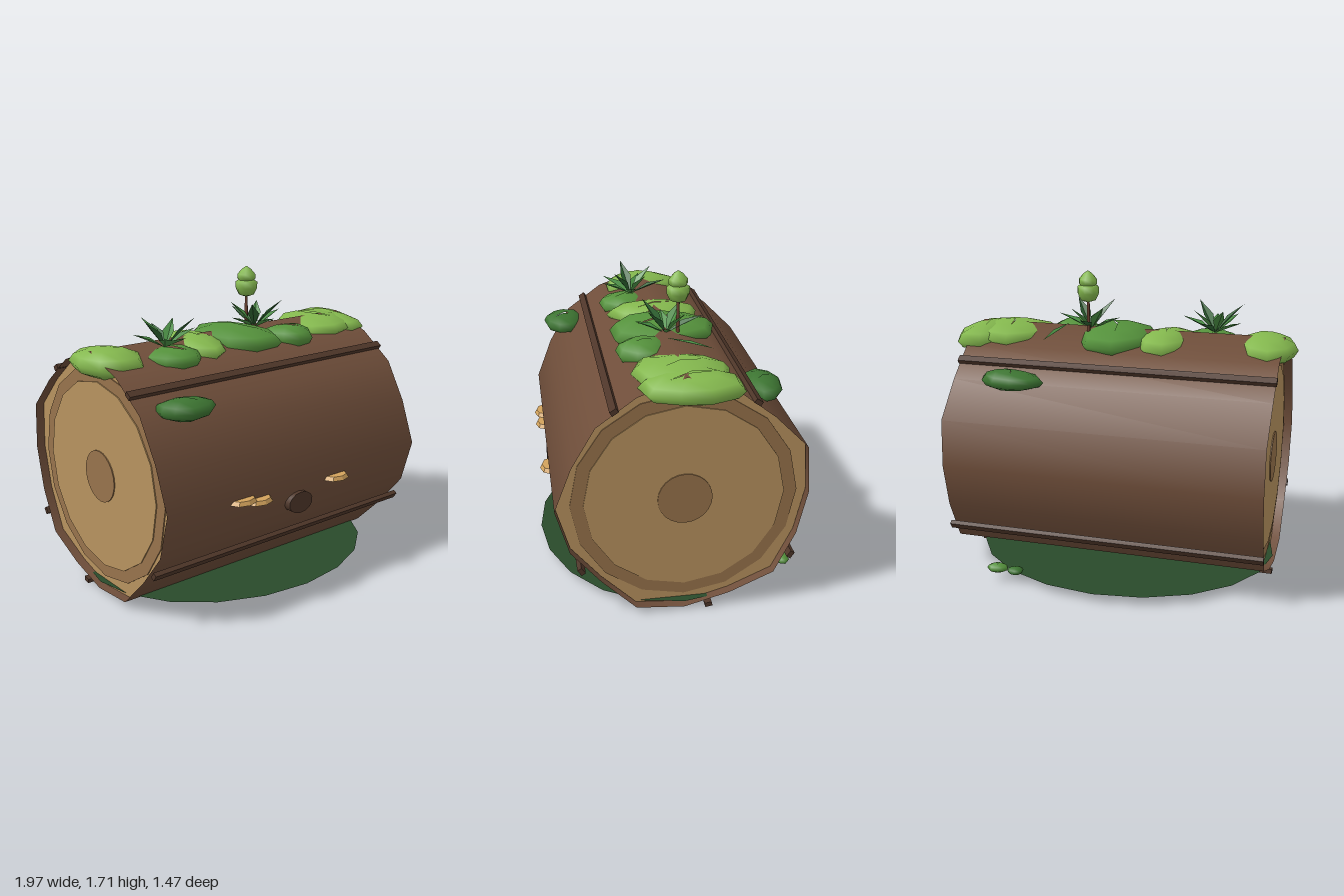
import * as THREE from 'three';
import { mergeVertices } from 'three/addons/utils/BufferGeometryUtils.js';

const mat = (color, extra = {}) => new THREE.MeshStandardMaterial({ color, ...extra });
const DOUBLE = { side: THREE.DoubleSide };
const M = {
  bark: mat(0x6f4e3a, DOUBLE), ridge: mat(0x4e3629), wood: mat(0xb8935f), ring: mat(0x98734c),
  fungus: mat(0xd2a25c, { flatShading: true }),
  light: mat(0x84b84e), mid: mat(0x55923c), dark: mat(0x3d7532),
  ground: mat(0x294a2a, DOUBLE),
  leaf: mat(0x4a9044, { side: THREE.DoubleSide, flatShading: true }),
  leafDark: mat(0x2f6632, { side: THREE.DoubleSide, flatShading: true }),
  stem: mat(0x6b4030),
};

// Uneven log outline: radius every 22.5 degrees, from the top towards the back
const RADII = [0.70, 0.66, 0.64, 0.69, 0.655, 0.65, 0.688, 0.642,
  0.66, 0.69, 0.636, 0.66, 0.68, 0.635, 0.65, 0.66];
const AXIS_Y = 0.68, X0 = -0.92, X1 = 0.87, MID = (X0 + X1) / 2;

function add(group, name, geometry, material, x = 0, y = 0, z = 0) {
  const mesh = new THREE.Mesh(geometry, material);
  mesh.name = name;
  mesh.position.set(x, y, z);
  group.add(mesh);
  return mesh;
}

// Cylinder lying along x
const lying = (r, length, sides, open = false) =>
  new THREE.CylinderGeometry(r, r, length, sides, 1, open).rotateZ(-Math.PI / 2);

// Cylinder along x whose sides follow the uneven log outline
function logSection(length, factor, open) {
  const g = lying(1, length, 16, open), p = g.attributes.position;
  for (let i = 0; i < p.count; i++) {
    const y = p.getY(i), z = p.getZ(i);
    const k = (Math.round(Math.atan2(-z, y) / (Math.PI / 8)) + 16) % 16;
    const r = RADII[k] * factor;
    p.setY(i, y * r);
    p.setZ(i, z * r);
  }
  return g;
}

// Rounded flat lump with a wavy outline
function lump(rx, ry, rz, seed) {
  let g = new THREE.SphereGeometry(1, 9, 6);
  const p = g.attributes.position;
  for (let i = 0; i < p.count; i++) {
    const x = p.getX(i), y = p.getY(i), z = p.getZ(i), a = Math.atan2(z, x);
    const k = 0.97 + 0.07 * Math.sin(2 * a + seed) + 0.05 * Math.sin(3 * a + seed * 2.3);
    const h = 1 + 0.08 * Math.sin(a + seed);
    p.setXYZ(i, x * k * rx, y * h * ry, z * k * rz);
  }
  g.deleteAttribute('uv');
  g.deleteAttribute('normal');
  g = mergeVertices(g, 1e-4);
  g.computeVertexNormals();
  return g;
}

// Pointed, slightly folded leaf along +z
function leafGeometry(length, width) {
  const m = length * 0.5, w = width / 2, f = width * 0.25;
  const g = new THREE.BufferGeometry();
  g.setAttribute('position', new THREE.Float32BufferAttribute(
    [0, 0, 0, w, f, m, 0, 0, m, -w, f, m, 0, 0, length], 3));
  g.setIndex([0, 2, 1, 0, 3, 2, 1, 2, 4, 2, 3, 4]);
  g.computeVertexNormals();
  return g;
}

function rosette(name, x, y, z, count, turn) {
  const group = new THREE.Group();
  group.name = name;
  group.position.set(x, y, z);
  for (let i = 0; i < count; i++) {
    const inner = i % 2;
    const leaf = add(group, 'leaf', leafGeometry(0.19 + 0.02 * ((i * 5) % 3), 0.065),
      i % 3 === 1 ? M.leafDark : M.leaf);
    leaf.rotation.order = 'YXZ';
    leaf.rotation.set(inner ? -0.8 : -0.42, turn + (i / count) * Math.PI * 2, 0);
  }
  return group;
}

export function createModel() {
  const model = new THREE.Group();

  // Hollow bark shell
  add(model, 'bark', logSection(X1 - X0, 1, true), M.bark, MID, AXIS_Y);

  // Cut ends, set a little inside the bark, with growth rings
  for (const [side, x] of [[-1, X0], [1, X1]]) {
    const end = new THREE.Group();
    end.name = side > 0 ? 'leftCutEnd' : 'rightCutEnd';
    end.position.set(x - side * 0.06, AXIS_Y, 0);
    add(end, 'cutFace', logSection(0.02, 0.995, false), M.wood);
    add(end, 'outerRing', lying(0.6, 0.02, 16), M.ring, side * 0.006);
    add(end, 'innerWood', lying(0.53, 0.02, 16), M.wood, side * 0.012);
    add(end, 'heartwood', lying(0.145, 0.02, 24), M.ring, side * 0.018);
    model.add(end);
  }

  // Long bark ridges: y, z
  for (const [y, z] of [[1.222, 0.365], [1.222, -0.36], [0.31, 0.555], [0.297, -0.577], [0.021, -0.13]]) {
    const ridge = add(model, 'barkRidge', new THREE.BoxGeometry(X1 - X0 + 0.01, 0.026, 0.04), M.ridge, MID, y, z);
    ridge.rotation.x = Math.atan2(z, y - AXIS_Y);
  }

  // Knot on the front
  const knot = add(model, 'knot',
    new THREE.CylinderGeometry(0.085, 0.085, 0.045, 14).rotateX(Math.PI / 2), M.ridge, -0.025, 0.525, 0.653);
  knot.scale.y = 0.72;

  // Shelf fungi
  for (const [x, y] of [[-0.43, 0.64], [-0.32, 0.615], [0.245, 0.615]]) {
    const shelf = add(model, 'shelfFungus', new THREE.CylinderGeometry(0.07, 0.086, 0.022, 8), M.fungus, x, y, 0.665);
    shelf.scale.z = 0.72;
  }

  // Moss: material, centre, half sizes
  const moss = [
    [M.light, -0.82, 1.31, 0.0, 0.18, 0.08, 0.24],
    [M.mid, -0.49, 1.305, 0.14, 0.165, 0.062, 0.17],
    [M.light, -0.25, 1.31, 0.0, 0.17, 0.075, 0.27],
    [M.mid, 0.04, 1.32, 0.0, 0.25, 0.08, 0.3],
    [M.mid, 0.33, 1.315, 0.14, 0.155, 0.07, 0.16],
    [M.light, 0.67, 1.315, 0.0, 0.23, 0.075, 0.28],
    [M.light, 0.815, 1.305, -0.03, 0.183, 0.08, 0.27],
    [M.dark, -0.67, 1.145, 0.505, 0.175, 0.056, 0.12],
    [M.dark, 0.515, 1.155, -0.475, 0.18, 0.056, 0.11],
    [M.mid, 0.58, 0.078, -0.617, 0.06, 0.026, 0.045],
    [M.dark, 0.475, 0.072, -0.617, 0.05, 0.022, 0.04],
  ];
  moss.forEach(([material, x, y, z, rx, ry, rz], i) =>
    add(model, 'moss', lump(rx, ry, rz, i * 1.7), material, x, y, z));

  // Leaf rosettes and one loose blade
  model.add(rosette('smallRosette', -0.51, 1.36, 0.1, 9, 0.1));
  model.add(rosette('flowerRosette', 0.2, 1.36, 0.0, 8, 0.0));
  const blade = add(model, 'looseBlade', leafGeometry(0.27, 0.035), M.leaf, 0.34, 1.385, 0.02);
  blade.lookAt(0.41, 1.335, -0.23);

  // Stem with a bud
  add(model, 'stem', new THREE.CylinderGeometry(0.008, 0.011, 0.22, 6), M.stem, 0.195, 1.45, -0.07);
  const cup = [[0, 1.53], [0.045, 1.545], [0.064, 1.585], [0.064, 1.62], [0.04, 1.635], [0, 1.637]];
  const tip = [[0.03, 1.61], [0.054, 1.64], [0.052, 1.665], [0.026, 1.695], [0, 1.712]];
  for (const [name, profile] of [['budCup', cup], ['budTip', tip]]) {
    const points = profile.map(([r, y]) => new THREE.Vector2(r, y));
    add(model, name, new THREE.LatheGeometry(points, 8), M.light, 0.195, 0, -0.07);
  }

  // Thin patch of ground growth under the log
  const patch = add(model, 'groundPatch', new THREE.CircleGeometry(1, 20).rotateX(-Math.PI / 2), M.ground, -0.02, 0.055, 0);
  patch.scale.set(0.89, 1, 0.735);

  return model;
}
